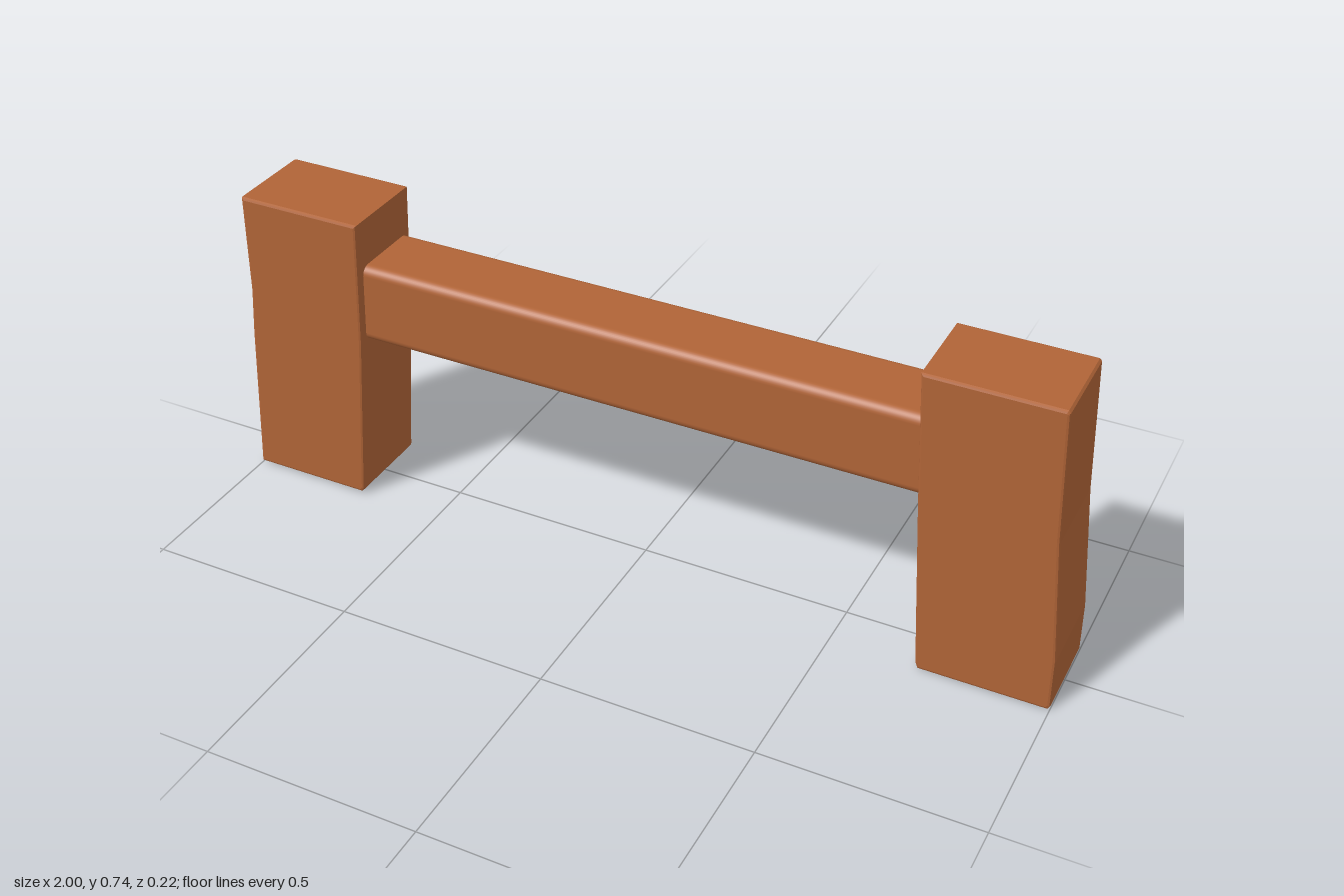
import * as THREE from 'three';
import { RoundedBoxGeometry } from 'three/addons/geometries/RoundedBoxGeometry.js';

const wood = new THREE.MeshStandardMaterial({ color: 0xb06437 });
wood.name = 'warm brown wood';

// Leaning post: side outline extruded along z with a tiny bevel
function makePost(name, outline) {
  const depth = 0.217, bevel = 0.006;
  const shape = new THREE.Shape(outline.map(([x, y]) => new THREE.Vector2(x, y)));
  const geometry = new THREE.ExtrudeGeometry(shape, {
    depth: depth - 2 * bevel,
    bevelEnabled: true,
    bevelThickness: bevel,
    bevelSize: bevel,
    bevelOffset: -bevel,
    bevelSegments: 2,
  });
  geometry.translate(0, 0, bevel - depth / 2);
  const post = new THREE.Mesh(geometry, wood);
  post.name = name;
  return post;
}

export function createModel() {
  const model = new THREE.Group();
  model.name = 'hurdle';

  // Two posts that splay outward towards the ground
  model.add(makePost('leftPost', [
    [0.705, 0], [0.995, 0], [1, 0.01], [0.998, 0.13], [0.972, 0.43], [0.957, 0.735],
    [0.952, 0.74], [0.655, 0.74], [0.672, 0.43], [0.699, 0.015],
  ]));
  model.add(makePost('rightPost', [
    [-1, 0.005], [-0.71, 0.005], [-0.703, 0.015], [-0.672, 0.43], [-0.66, 0.74],
    [-0.965, 0.74], [-0.968, 0.5], [-0.978, 0.38],
  ]));

  // Crossbar with softened long edges, its ends buried in the posts
  const bar = new THREE.Mesh(new RoundedBoxGeometry(1.4, 0.194, 0.184, 4, 0.022), wood);
  bar.name = 'crossbar';
  bar.position.set(0, 0.527, -0.006);
  model.add(bar);

  return model;
}
